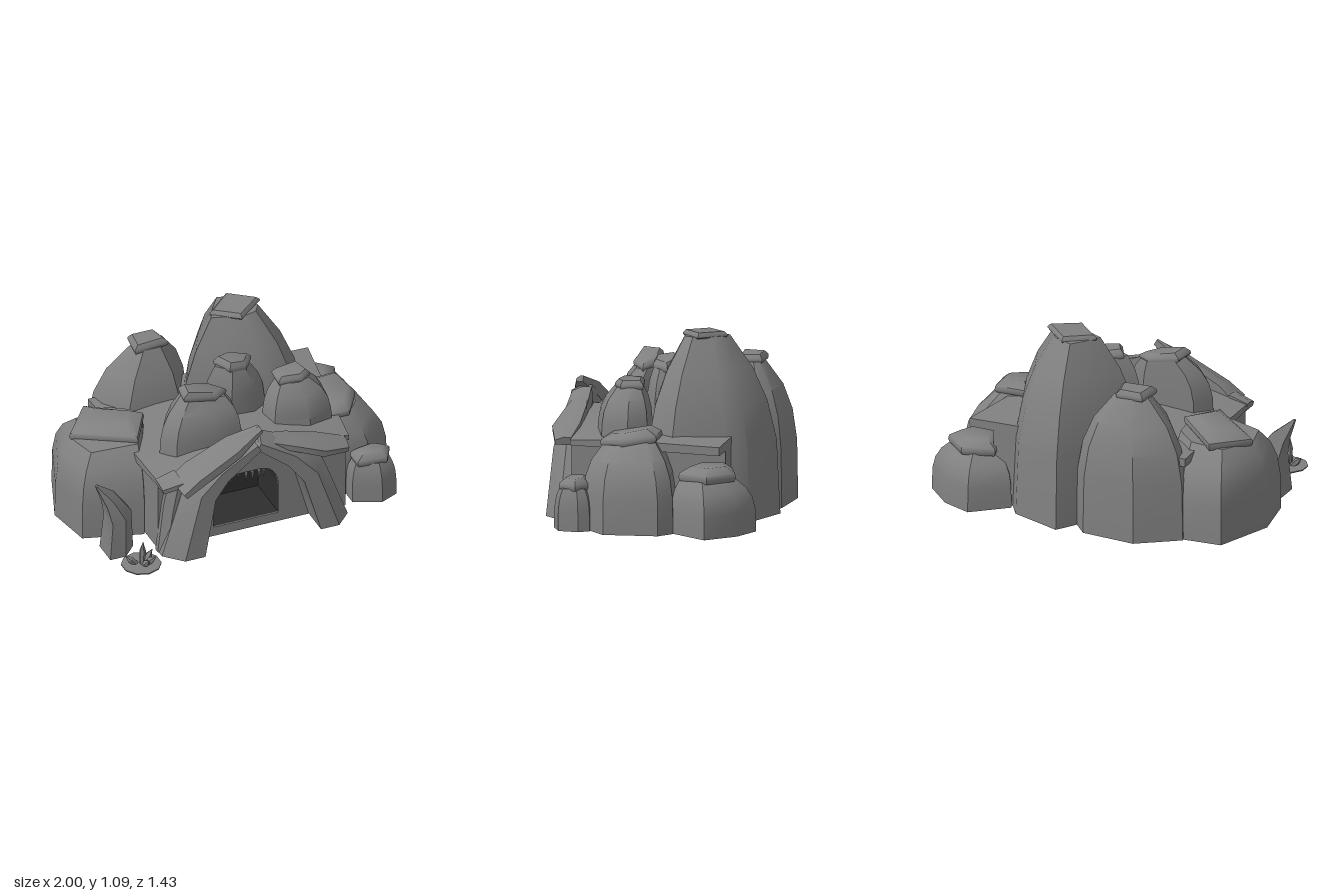
import * as THREE from 'three';
import { toCreasedNormals } from 'three/addons/utils/BufferGeometryUtils.js';

const stone = new THREE.MeshStandardMaterial({ color: 0x808080 });
stone.name = 'stone grey';
const dark = new THREE.MeshStandardMaterial({ color: 0x2e2e2e, side: THREE.BackSide });
dark.name = 'cave dark';

// Closed solid through rings with equal point counts; winding is fixed by signed volume
function loft(rings, crease = 0.65) {
  const n = rings[0].length, pts = rings.flat(), idx = [];
  for (let r = 0; r < rings.length - 1; r++) {
    for (let i = 0; i < n; i++) {
      const a = r * n + i, b = r * n + (i + 1) % n;
      idx.push(a, b, a + n, b, b + n, a + n);
    }
  }
  const last = (rings.length - 1) * n;
  for (let i = 1; i < n - 1; i++) idx.push(0, i + 1, i, last, last + i, last + i + 1);
  const v = pts.map(p => new THREE.Vector3(...p));
  let volume = 0;
  for (let i = 0; i < idx.length; i += 3) {
    volume += v[idx[i]].dot(v[idx[i + 1]].clone().cross(v[idx[i + 2]]));
  }
  if (volume < 0) idx.reverse();
  const g = new THREE.BufferGeometry();
  g.setAttribute('position', new THREE.Float32BufferAttribute(pts.flat(), 3));
  g.setIndex(idx);
  return toCreasedNormals(g, crease);
}

function mesh(name, geometry, material = stone) {
  const m = new THREE.Mesh(geometry, material);
  m.name = name;
  return m;
}

const centre = pts => pts.reduce((s, p) => [s[0] + p[0] / pts.length, s[1] + p[1] / pts.length], [0, 0]);
const half = (pts, k) => (Math.max(...pts.map(p => p[k])) - Math.min(...pts.map(p => p[k]))) / 2;

// Boulder: a footprint that narrows towards a tilted, domed cap stone
function rock(name, foot, cap, y0, y1, thick, { tiltX = 0, tiltZ = 0, top = 0.75, bulge = 4 } = {}) {
  const group = new THREE.Group();
  group.name = name;
  const c = centre(cap), f = centre(foot);
  const sx = 0.92 * half(cap, 0) / half(foot, 0), sz = 0.92 * half(cap, 1) / half(foot, 1);
  const lean = (x, z) => tiltX * (x - c[0]) + tiltZ * (z - c[1]);
  const rings = [0, 0.42, 0.64, 0.82, 1].map(h => foot.map(([x, z]) => {
    const t = h ** bulge, tx = c[0] + (x - f[0]) * sx, tz = c[1] + (z - f[1]) * sz;
    return [x + (tx - x) * t, y0 + (y1 + 0.01 - y0) * h + lean(tx, tz) * t, z + (tz - z) * t];
  }));
  const capRings = [[0, 0.94], [0.25, 1], [0.55, 0.97], [1, top]].map(([h, s]) =>
    cap.map(([x, z]) => [c[0] + (x - c[0]) * s, y1 + thick * h + lean(x, z), c[1] + (z - c[1]) * s]));
  group.add(mesh('boulder', loft(rings)), mesh('capStone', loft(capRings, 0.8)));
  return group;
}

// Beam along a path of [x, y, z, half width, half depth], bevelled on one front edge
function beam(name, path, side) {
  return mesh(name, loft(path.map(([x, y, z, w, d], i) => {
    const a = path[Math.max(i - 1, 0)], b = path[Math.min(i + 1, path.length - 1)];
    const l = Math.hypot(b[0] - a[0], b[1] - a[1]);
    const nx = y === 0 ? 1 : (b[1] - a[1]) / l, ny = y === 0 ? 0 : (a[0] - b[0]) / l;
    return [[1, -1], [-1, -1], [-1, 1], [0.1, 1], [1, -0.1]].map(([u, k]) =>
      [x + nx * w * u * side, y + ny * w * u * side, z + d * k]);
  }), 0.5));
}

function archPath(PathType, s = 0) {
  const p = new PathType();
  p.moveTo(-0.24 + s, 0.06 + s);
  p.lineTo(0.17 - s, 0.06 + s);
  p.lineTo(0.17 - s, 0.25);
  p.quadraticCurveTo(0.16 - s, 0.39 - s, 0.04, 0.39 - s);
  p.lineTo(-0.11, 0.39 - s);
  p.quadraticCurveTo(-0.23 + s, 0.39 - s, -0.24 + s, 0.25);
  p.closePath();
  return p;
}

export function createModel() {
  const model = new THREE.Group();
  model.name = 'rockCave';

  // Boulders around and above the cave
  model.add(
    rock('mainPeak', [[0.09, -0.71], [0.4, -0.6], [0.48, -0.48], [0.6, -0.17], [0.5, 0], [0.3, 0.04], [0.02, -0.07], [-0.22, -0.17], [-0.08, -0.45]],
      [[0.19, -0.42], [0.35, -0.28], [0.18, -0.15], [0.03, -0.28]], 0, 1.045, 0.035, { tiltX: 0.06, top: 0.85, bulge: 3 }),
    rock('backLeftRock', [[-0.64, -0.53], [-0.4, -0.7], [-0.07, -0.68], [0.02, -0.58], [-0.15, -0.25], [-0.5, -0.25], [-0.62, -0.42]],
      [[-0.38, -0.53], [-0.21, -0.53], [-0.18, -0.39], [-0.4, -0.37]], 0, 0.82, 0.05),
    rock('leftRock', [[-0.87, -0.5], [-0.62, -0.52], [-0.47, -0.35], [-0.45, -0.1], [-0.6, 0.24], [-0.95, 0.14], [-1, -0.15]],
      [[-0.73, -0.37], [-0.45, -0.12], [-0.58, 0.1], [-0.91, -0.15]], 0, 0.52, 0.08, { tiltX: 0.1, top: 0.55 }),
    rock('rightRock', [[0.55, -0.2], [0.85, -0.25], [0.94, -0.18], [0.97, 0.14], [0.8, 0.3], [0.62, 0.31], [0.5, 0.1]],
      [[0.56, -0.12], [0.76, -0.13], [0.8, 0.07], [0.7, 0.22], [0.55, 0.22]], 0, 0.49, 0.075, { tiltZ: -0.13, top: 0.65 }),
    rock('backRightRock', [[0.66, -0.7], [0.84, -0.63], [1, -0.47], [0.83, -0.23], [0.55, -0.35], [0.46, -0.53]],
      [[0.56, -0.54], [0.75, -0.6], [0.9, -0.46], [0.8, -0.27], [0.6, -0.33]], 0, 0.305, 0.085, { top: 0.6 }),
    rock('frontRightRock', [[0.64, 0.3], [0.72, 0.24], [0.88, 0.24], [0.92, 0.3], [0.91, 0.42], [0.8, 0.47], [0.64, 0.4]],
      [[0.67, 0.29], [0.83, 0.26], [0.91, 0.32], [0.85, 0.43], [0.67, 0.41]], 0, 0.235, 0.065, { top: 0.6 }),
    rock('roofRockRight', [[0.2, 0.1], [0.3, 0], [0.52, -0.02], [0.6, 0.08], [0.58, 0.24], [0.42, 0.3], [0.22, 0.24]],
      [[0.28, 0.05], [0.45, 0.02], [0.48, 0.15], [0.41, 0.2], [0.27, 0.18]], 0.42, 0.765, 0.05),
    rock('roofRockMiddle', [[-0.13, -0.02], [0, -0.14], [0.2, -0.14], [0.26, 0], [0.17, 0.07], [0.02, 0.08]],
      [[-0.04, -0.06], [0.07, -0.11], [0.2, -0.06], [0.13, 0.04], [0.02, 0.05]], 0.42, 0.835, 0.055, { tiltX: -0.12 }),
    rock('roofRockLeft', [[-0.49, 0.2], [-0.42, 0.08], [-0.1, 0.06], [0.02, 0.15], [0, 0.27], [-0.2, 0.31], [-0.42, 0.29]],
      [[-0.32, 0.08], [-0.13, 0.07], [-0.04, 0.14], [-0.14, 0.22], [-0.34, 0.21]], 0.42, 0.8, 0.05, { tiltX: -0.17 }));

  // Cave front wall with arched opening, and the solid body behind it
  const wall = new THREE.Shape([[-0.59, 0], [0.59, 0], [0.59, 0.46], [-0.59, 0.46]].map(p => new THREE.Vector2(...p)));
  wall.holes.push(archPath(THREE.Path));
  const wallGeo = new THREE.ExtrudeGeometry(wall, { depth: 0.315, bevelEnabled: false, curveSegments: 8 });
  model.add(mesh('caveWall', wallGeo.translate(0, 0, 0.1)));
  const body = new THREE.BoxGeometry(1.18, 0.46, 0.6);
  model.add(mesh('caveBody', body.translate(0, 0.23, -0.2)));
  const lining = new THREE.ExtrudeGeometry(archPath(THREE.Shape, 0.003), { depth: 0.295, bevelEnabled: false, curveSegments: 8 });
  model.add(mesh('caveInterior', lining.translate(0, 0, 0.115), dark));

  // Stone teeth hanging from the arch
  [[-0.15, 0.08], [-0.12, 0.09], [-0.07, 0.06], [-0.02, 0.1], [0.02, 0.11], [0.06, 0.1], [0.09, 0.09]].forEach(([x, h]) => {
    const tooth = mesh('hangingTooth', new THREE.ConeGeometry(0.014, h, 5));
    tooth.rotation.x = Math.PI;
    tooth.position.set(x, 0.388 - h / 2, 0.38);
    model.add(tooth);
  });

  // Roof slab, gently gabled at the front and flatter behind
  const roofRing = (z, l, r, side, peak) => [[l, 0.45, z], [r, 0.45, z], [r, side, z], [0.32, (side + peak) / 2, z],
    [0, peak, z], [-0.32, (side + peak) / 2, z], [l, side, z]];
  model.add(mesh('roofSlab', loft([roofRing(0.42, -0.6, 0.61, 0.48, 0.59), roofRing(0.1, -0.62, 0.65, 0.5, 0.57),
    roofRing(-0.5, -0.64, 0.745, 0.5, 0.52)])));

  // Leaning entrance beams and the stones lying on them
  model.add(
    beam('leftBeam', [[-0.485, 0, 0.505, 0.115, 0.095], [-0.38, 0.4, 0.5, 0.09, 0.085], [-0.25, 0.52, 0.5, 0.065, 0.075], [-0.02, 0.65, 0.5, 0.04, 0.06]], -1),
    beam('rightBeam', [[0.465, 0, 0.505, 0.105, 0.09], [0.34, 0.38, 0.495, 0.085, 0.085], [0.21, 0.52, 0.49, 0.065, 0.075], [0, 0.65, 0.49, 0.04, 0.06]], 1),
    beam('leftLintel', [[-0.5, 0.45, 0.505, 0.03, 0.09], [-0.4, 0.52, 0.505, 0.045, 0.085], [-0.15, 0.645, 0.5, 0.04, 0.07], [0.02, 0.73, 0.5, 0.018, 0.02]], -1),
    beam('rightLintel', [[0, 0.65, 0.48, 0.018, 0.03], [0.2, 0.585, 0.48, 0.03, 0.065], [0.4, 0.515, 0.49, 0.035, 0.085], [0.57, 0.465, 0.47, 0.025, 0.05]], -1),
    beam('leftSidePost', [[-0.565, 0, 0.45, 0.04, 0.04], [-0.52, 0.3, 0.45, 0.05, 0.04], [-0.49, 0.45, 0.45, 0.05, 0.04]], -1),
    beam('leftSideCap', [[-0.6, 0.46, 0.46, 0.025, 0.05], [-0.48, 0.49, 0.47, 0.03, 0.06]], -1));

  // Standing spike at the left
  model.add(beam('standingSpike', [[-0.8, 0, 0.335, 0.09, 0.08], [-0.795, 0.24, 0.335, 0.075, 0.07],
    [-0.855, 0.36, 0.335, 0.045, 0.05], [-0.945, 0.48, 0.335, 0.006, 0.01]], 1));

  // Small crystal cluster on a thin disc with a short stem
  const cluster = new THREE.Group();
  cluster.name = 'crystalCluster';
  cluster.position.set(-0.775, 0, 0.6);
  const dish = [[0.001, 0.01], [0.03, 0.015], [0.045, 0.042], [0.118, 0.055], [0.118, 0.062], [0.001, 0.07]];
  cluster.add(mesh('dish', toCreasedNormals(new THREE.LatheGeometry(dish.map(p => new THREE.Vector2(...p)), 10), 0.5)));
  [[0, 0.02, 0.17, 0.1], [0.03, 0.03, 0.1, 0.8], [-0.045, -0.01, 0.1, 0.8], [0.045, -0.02, 0.09, 0.8], [0.01, 0.045, 0.08, 0.7]].forEach(([x, z, h, lean]) => {
    const pts = [[0.001, 0], [0.016, 0.01], [0.02, h * 0.6], [0.001, h]].map(p => new THREE.Vector2(...p));
    const crystal = mesh('crystal', toCreasedNormals(new THREE.LatheGeometry(pts, 5), 0.3));
    const l = Math.hypot(x, z);
    crystal.position.set(x * 0.5, 0.055, z * 0.5);
    crystal.rotation.set(lean * z / l, 0, -lean * x / l);
    cluster.add(crystal);
  });
  model.add(cluster);
  return model;
}
